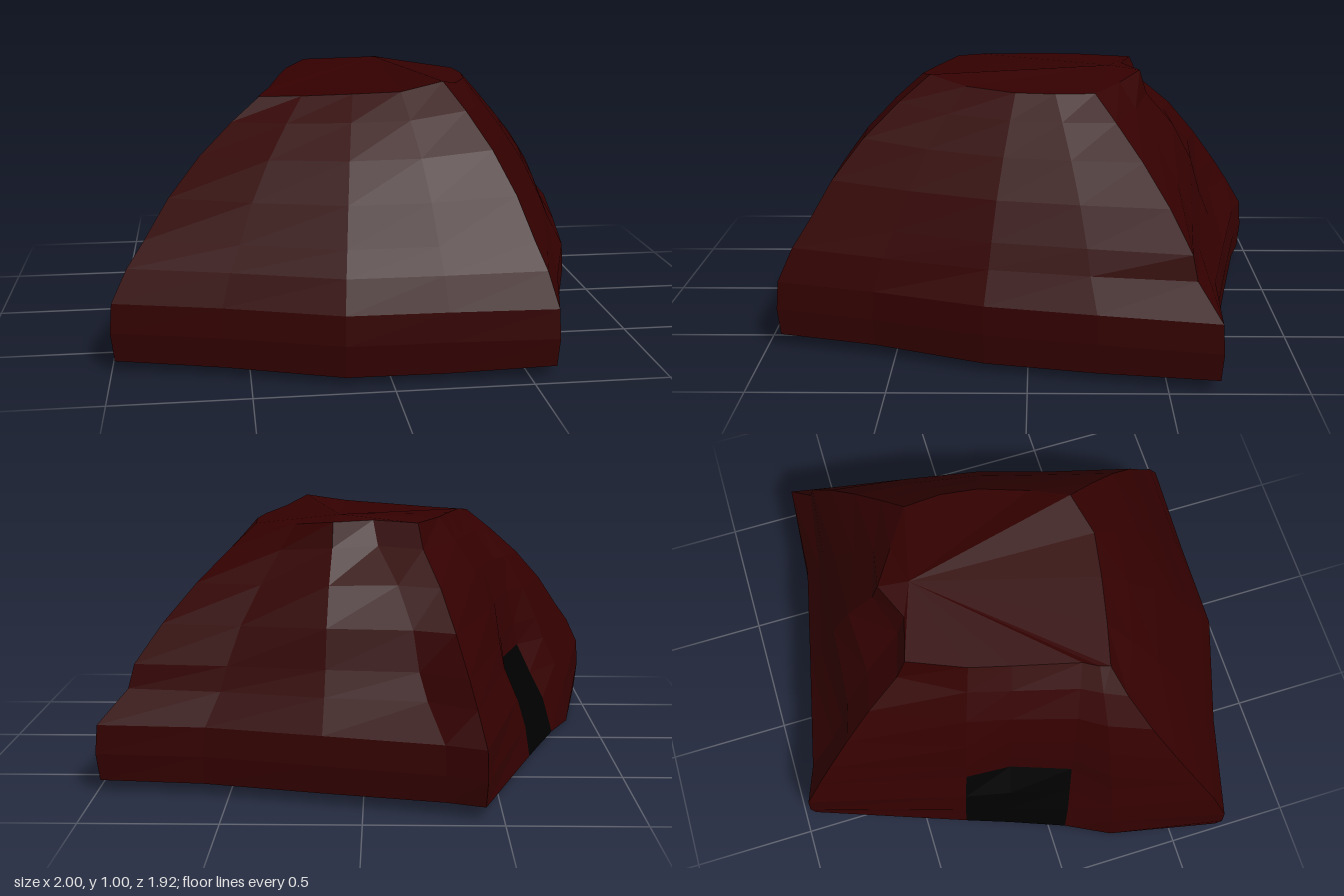
import * as THREE from 'three';

// Columns round the mound: foot x, z, then rim x, y, z, underside y,
// outward swell of the slope, and an optional sideways bend along z
const columns = [
  [-1.0, 0.70, -0.43, 0.94, 0.32, 0.04, 0.03, -0.045],
  [-0.6, 0.80, -0.27, 0.945, 0.36, 0.035, 0.04],
  [-0.17, 0.94, -0.08, 0.955, 0.40, 0.03, 0.05],
  [0.2, 0.945, 0.10, 0.965, 0.43, 0.03, 0.05],
  [0.6, 0.96, 0.27, 0.995, 0.385, 0.045, 0.05],
  [0.7, 0.58, 0.35, 0.965, 0.24, 0.045, 0.03],
  [0.84, 0.16, 0.42, 0.955, 0.05, 0.035, 0],
  [0.92, -0.25, 0.44, 0.955, -0.10, 0.035, 0],
  [1.0, -0.69, 0.43, 0.955, -0.25, 0.045, 0],
  [0.6, -0.725, 0.27, 0.965, -0.35, 0.045, -0.01],
  [0.15, -0.82, 0.12, 0.985, -0.44, 0.045, -0.02],
  [-0.3, -0.92, -0.03, 0.985, -0.375, 0.05, -0.03],
  [-0.44, -0.965, -0.20, 0.98, -0.42, 0.05, -0.045],
  [-0.665, -0.34, -0.29, 0.975, -0.20, 0.03, 0],
  [-0.725, -0.16, -0.33, 0.97, -0.04, 0.015, 0],
  [-0.81, 0.07, -0.39, 0.955, 0.22, 0.004, 0],
  [-0.9, 0.25, -0.42, 0.945, 0.28, 0.0, 0],
];

// Slope profile above the foot wall: height fraction, inward fraction
const slope = [[0, 0.015], [0.17, 0.12], [0.3, 0.24], [0.5, 0.41], [0.7, 0.62], [0.87, 0.83], [1, 1]];
const WALL = 0.26;

// Extra inward wear, by column, for successive slope rows
const wear = {
  6: [0, 0.04, 0.01],
  7: [0, 0.05, 0.01],
  8: [0, 0.08],
  9: [0.03, 0.08, 0.03],
  10: [0.03, 0.10, 0.08, 0.01, 0, 0.08],
  11: [0.02, 0.13, 0.11, 0.01, 0, 0.08],
  12: [0, 0.02, 0, 0, 0, 0.06],
  13: [0.145, 0.18, 0.11, 0.05],
  14: [0.19, 0.29, 0.20, 0.10, 0.02],
  15: [0.24, 0.27, 0.19, 0.10, 0.02],
  16: [0.13, 0.14, 0.09, 0.05],
};

// The doorway fills these columns and rows
const isDoor = (col, row) => (col === 13 || col === 14) && row < 3;

function columnPoints([bx, bz, tx, ty, tz, by, swell, bend = 0], i) {
  const worn = wear[i] || [0];
  const mid = worn[0] / 2;
  const points = [
    new THREE.Vector3(bx * 0.988, by, bz * 0.99),
    new THREE.Vector3(THREE.MathUtils.lerp(bx, tx, mid), 0.15, THREE.MathUtils.lerp(bz, tz, mid)),
  ];
  slope.forEach(([h, f], row) => {
    const bulge = 6.75 * h * h * (1 - h);
    const k = f + (worn[row] || 0) - swell * bulge;
    points.push(new THREE.Vector3(
      THREE.MathUtils.lerp(bx, tx, k),
      THREE.MathUtils.lerp(WALL, ty, h),
      THREE.MathUtils.lerp(bz, tz, k) + bend * bulge));
  });
  return points;
}

function facetedMesh(name, corners, material) {
  const geometry = new THREE.BufferGeometry().setFromPoints(corners);
  geometry.computeVertexNormals();
  const mesh = new THREE.Mesh(geometry, material);
  mesh.name = name;
  return mesh;
}

export function createModel() {
  const rock = new THREE.MeshStandardMaterial({ color: 0x330000 });
  rock.name = 'dark red rock';
  const black = new THREE.MeshStandardMaterial({ color: 0x000000 });
  black.name = 'black opening';

  const grid = columns.map(columnPoints);
  const shell = [], door = [], summit = [], underside = [], threshold = [];
  const quad = (list, a, b, c, d) => list.push(a, b, c, a, c, d);
  const peak = new THREE.Vector3(0.1, 1.0, -0.32);

  // Inner ring of the underside, squared off where the threshold strip ends
  const floorCentre = new THREE.Vector3(0, 0.04, 0);
  const floorRing = grid.map((col) => col[0].clone().lerp(floorCentre, 0.55));
  floorRing[13].set(-0.24, 0.035, -0.30);
  floorRing[14].set(-0.29, 0.03, -0.12);

  grid.forEach((col, i) => {
    const n = (i + 1) % grid.length;
    const next = grid[n];
    // Sloping sides, with the doorway split off
    for (let j = 0; j < col.length - 1; j++) {
      quad(isDoor(i, j) ? door : shell, col[j], next[j], next[j + 1], col[j + 1]);
    }
    // Summit
    summit.push(col[col.length - 1], next[next.length - 1], peak);
    // Underside, with a dark strip reaching in from the doorway
    quad(i === 13 ? threshold : underside, next[0], col[0], floorRing[i], floorRing[n]);
    underside.push(floorRing[n], floorRing[i], floorCentre);
  });

  const group = new THREE.Group();
  group.name = 'rockMound';
  group.add(
    facetedMesh('slopes', shell, rock),
    facetedMesh('summit', summit, rock),
    facetedMesh('underside', underside, rock),
    facetedMesh('doorway', door, black),
    facetedMesh('threshold', threshold, black));
  return group;
}
